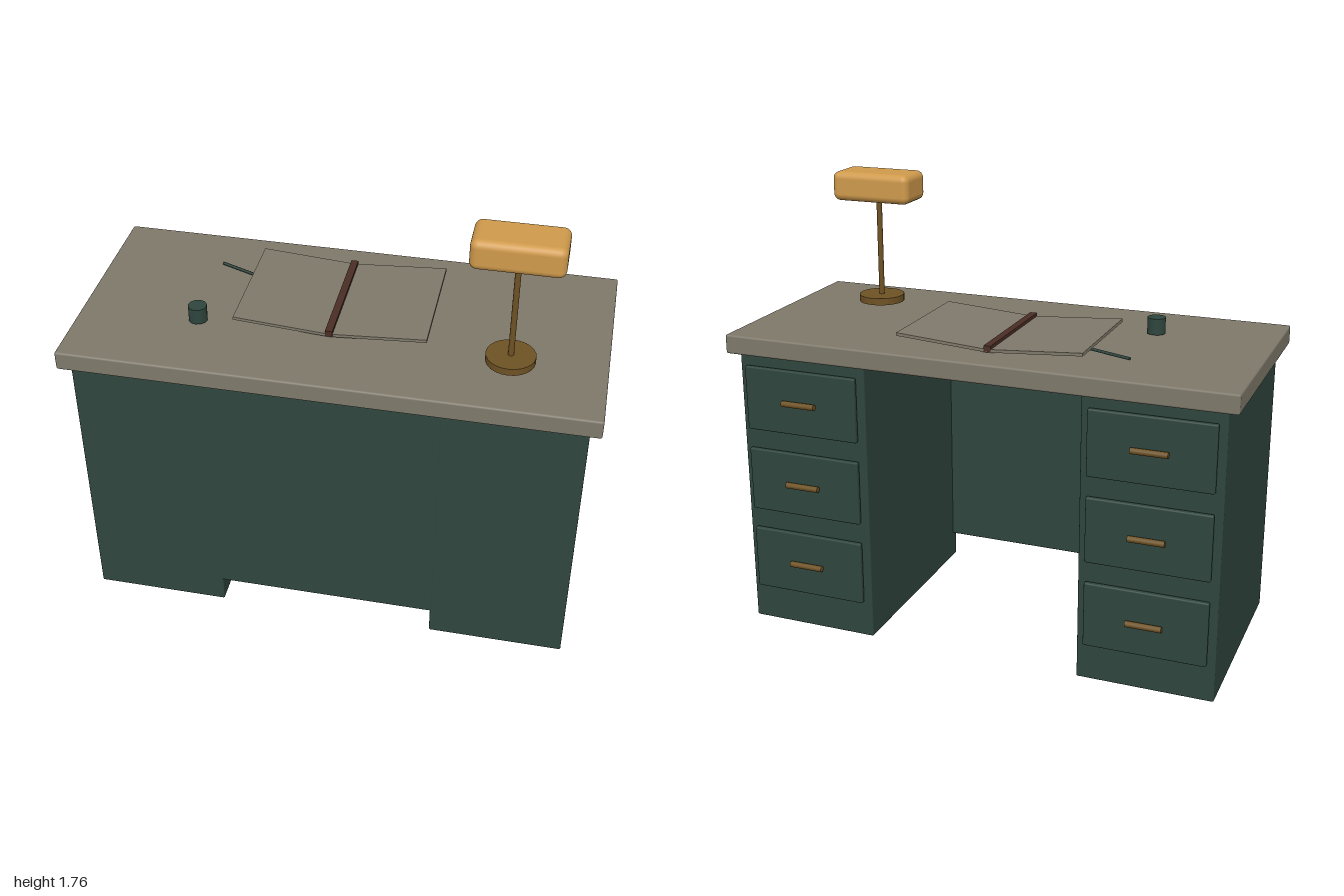
import * as THREE from 'three';
import { RoundedBoxGeometry } from 'three/addons/geometries/RoundedBoxGeometry.js';

const material = (name, color) => {
  const m = new THREE.MeshStandardMaterial({ color });
  m.name = name;
  return m;
};

export function createModel() {
  const green = material('dark green paint', 0x2f453e);
  const stone = material('grey brown', 0x7f796b);
  const brass = material('dark brass', 0x6e5224);
  const amber = material('amber shade', 0xcf9a4c);
  const leather = material('brown leather', 0x4a2e24);

  const desk = new THREE.Group();
  desk.name = 'desk';

  const add = (name, geometry, mat, x, y, z, parent = desk) => {
    const mesh = new THREE.Mesh(geometry, mat);
    mesh.name = name;
    mesh.position.set(x, y, z);
    parent.add(mesh);
    return mesh;
  };
  const box = (w, h, d, r) => new RoundedBoxGeometry(w, h, d, 2, r);

  // Tabletop and the panel closing the front of the knee space
  add('tabletop', box(2, 0.075, 0.917, 0.008), stone, 0, 1.1685, 0.0085);
  add('frontPanel', box(0.87, 1.01, 0.035, 0.004), green, 0, 0.615, 0.412);

  // Two pedestals, each with three drawers facing the back
  for (const side of [1, -1]) {
    const pedestal = new THREE.Group();
    pedestal.name = side > 0 ? 'leftPedestal' : 'rightPedestal';
    pedestal.position.x = side * 0.693;
    desk.add(pedestal);
    add('cabinet', box(0.53, 1.131, 0.845, 0.006), green, 0, 0.5655, 0.0075, pedestal);
    for (const y of [0.28, 0.62, 0.957]) {
      add('drawerFront', box(0.47, 0.257, 0.022, 0.006), green, 0, y, -0.43, pedestal);
      const handle = add('handle', new THREE.CylinderGeometry(0.012, 0.012, 0.138, 12), brass, 0, y, -0.455, pedestal);
      handle.rotation.z = Math.PI / 2;
    }
  }

  // Desk lamp
  const lamp = new THREE.Group();
  lamp.name = 'lamp';
  lamp.position.set(0.645, 0, 0.193);
  desk.add(lamp);
  add('lampBase', new THREE.CylinderGeometry(0.092, 0.092, 0.028, 24), brass, 0, 1.234, 0, lamp);
  add('lampPole', new THREE.CylinderGeometry(0.011, 0.011, 0.42, 12), brass, 0, 1.445, 0, lamp);
  add('lampShade', new RoundedBoxGeometry(0.333, 0.117, 0.178, 4, 0.028), amber, 0, 1.697, 0, lamp);

  // Open book: two tilted leaves meeting at a leather spine
  const book = new THREE.Group();
  book.name = 'openBook';
  book.position.set(-0.033, 1.226, -0.075);
  desk.add(book);
  for (const side of [1, -1]) {
    const leaf = add(side > 0 ? 'leftLeaf' : 'rightLeaf', new THREE.BoxGeometry(0.368, 0.012, 0.492), stone,
      side * 0.184, 0.004, 0, book);
    leaf.rotation.z = side * 0.07;
  }
  add('spine', new THREE.BoxGeometry(0.028, 0.022, 0.496), leather, 0, 0, 0, book);

  // Inkwell and pen
  add('inkwell', new THREE.CylinderGeometry(0.036, 0.036, 0.063, 12), green, -0.54, 1.242, 0.157);
  const pen = add('pen', new THREE.CylinderGeometry(0.006, 0.006, 0.245, 8), green, -0.435, 1.218, -0.183);
  pen.rotation.set(0, -Math.atan2(0.09, 0.23), Math.PI / 2);

  return desk;
}
